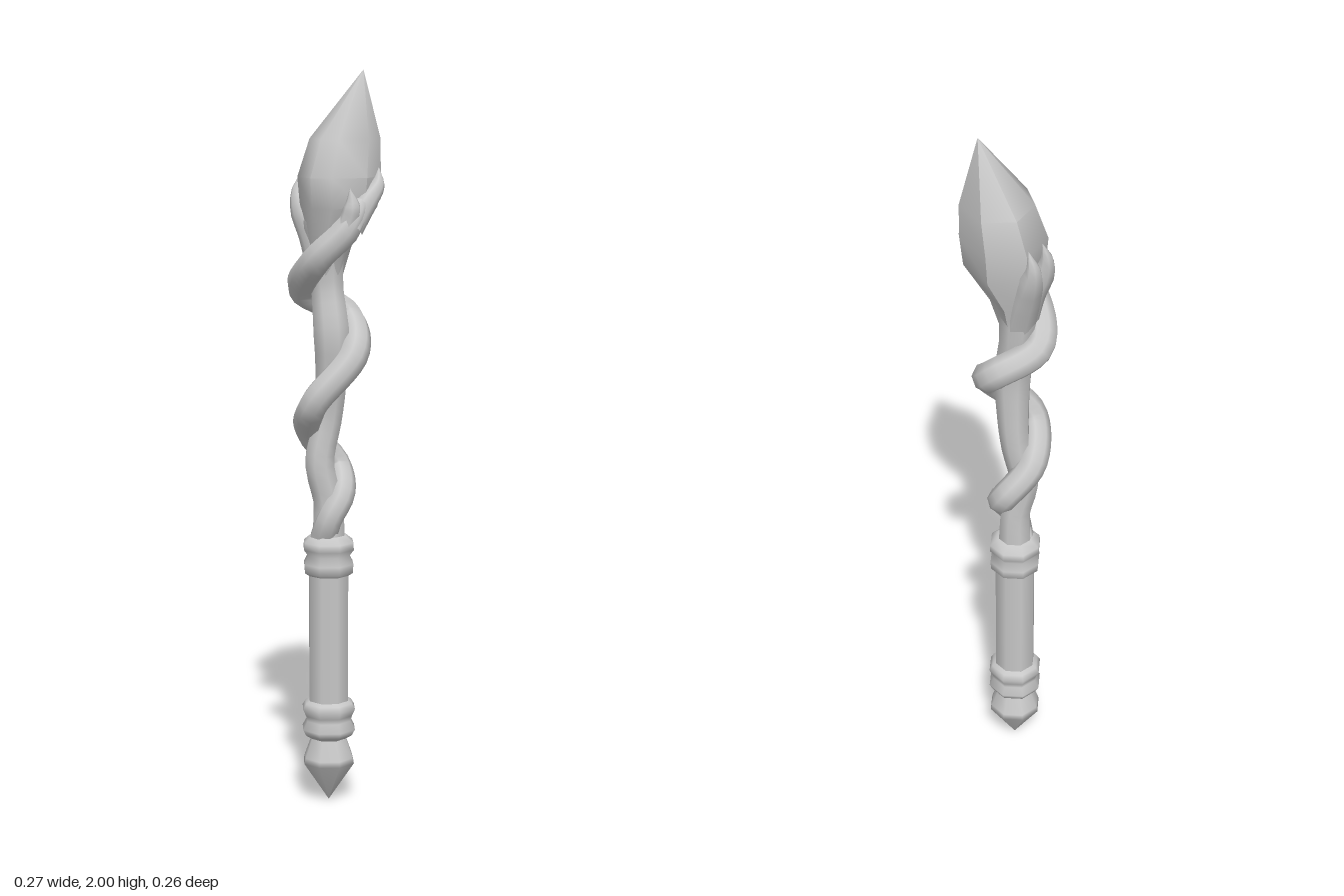
import * as THREE from 'three';
import { toCreasedNormals } from 'three/addons/utils/BufferGeometryUtils.js';

const stone = new THREE.MeshStandardMaterial({ color: 0xc8c8c8 });
stone.name = 'pale grey';

// Skin over rings of equal length, each running counter-clockwise about the direction of travel
function skin(rings) {
  const n = rings[0].length;
  const index = [];
  for (let i = 0; i < rings.length - 1; i++) {
    for (let j = 0; j < n; j++) {
      const k = (j + 1) % n;
      const a = i * n + j, b = i * n + k, c = a + n, d = b + n;
      index.push(a, b, c, b, d, c);
    }
  }
  const geometry = new THREE.BufferGeometry();
  geometry.setAttribute('position', new THREE.Float32BufferAttribute(rings.flat(2), 3));
  geometry.setIndex(index);
  geometry.computeVertexNormals();
  return geometry;
}

// Tapering tube through points of [x, y, z, radius]
function sweep(points, steps, sides) {
  const curve = new THREE.CatmullRomCurve3(points.map(p => new THREE.Vector3(p[0], p[1], p[2])));
  const frames = curve.computeFrenetFrames(steps);
  const rings = [];
  for (let i = 0; i <= steps; i++) {
    const u = i / steps;
    const t = curve.getUtoTmapping(u);
    const centre = curve.getPoint(t);
    const s = t * (points.length - 1);
    const k = Math.min(Math.floor(s), points.length - 2);
    const r = THREE.MathUtils.lerp(points[k][3], points[k + 1][3], s - k);
    const ring = [];
    for (let j = 0; j < sides; j++) {
      const a = (j / sides) * Math.PI * 2;
      ring.push(centre.clone()
        .addScaledVector(frames.normals[i], Math.cos(a) * r)
        .addScaledVector(frames.binormals[i], Math.sin(a) * r).toArray());
    }
    rings.push(ring);
  }
  return skin(rings);
}

export function createModel() {
  const group = new THREE.Group();
  group.name = 'staff';
  const add = (name, geometry) => {
    const mesh = new THREE.Mesh(geometry, stone);
    mesh.name = name;
    group.add(mesh);
    return mesh;
  };
  const lathe = (name, profile) => {
    const points = profile.map(p => new THREE.Vector2(p[0], p[1]));
    add(name, new THREE.LatheGeometry(points, 8)).position.x = -0.018;
  };

  // Handle: pointed pommel, grip and ringed collars
  lathe('pommel', [[0, 0], [0.074, 0.11], [0.07, 0.125], [0.046, 0.19]]);
  lathe('grip', [[0.057, 0.26], [0.057, 0.66]]);
  lathe('lowerCollar', [[0.044, 0.175], [0.068, 0.19], [0.077, 0.207], [0.064, 0.23],
    [0.068, 0.245], [0.077, 0.265], [0.068, 0.28], [0.055, 0.288]]);
  lathe('upperCollar', [[0.055, 0.638], [0.07, 0.648], [0.072, 0.672], [0.06, 0.695],
    [0.073, 0.712], [0.072, 0.732], [0.05, 0.75], [0, 0.755]]);

  // Bent core of the shaft
  add('core', sweep([
    [-0.018, 0.72, 0, 0.048], [-0.02, 0.84, 0, 0.042], [-0.04, 0.95, 0.01, 0.042],
    [-0.02, 1.08, -0.005, 0.04], [-0.01, 1.2, 0, 0.046], [-0.008, 1.3, 0.005, 0.052],
    [-0.025, 1.42, -0.01, 0.046], [-0.03, 1.5, -0.01, 0.052], [-0.02, 1.6, -0.01, 0.075],
  ], 28, 8));

  // Vine winding twice around the core
  add('vine', sweep([
    [-0.03, 0.74, 0.01, 0.038], [-0.005, 0.8, 0.028, 0.036], [0.018, 0.865, -0.005, 0.037],
    [-0.02, 0.935, -0.07, 0.038], [-0.075, 1.03, -0.01, 0.04], [-0.03, 1.12, 0.08, 0.04],
    [0.057, 1.25, 0.01, 0.042], [0.0, 1.345, -0.088, 0.042], [-0.092, 1.415, -0.01, 0.042],
    [-0.02, 1.505, 0.088, 0.041], [0.06, 1.585, 0.075, 0.039], [0.09, 1.65, 0.05, 0.025],
    [0.1, 1.67, 0.035, 0],
  ], 64, 8));

  // Claws gripping the crystal
  const claws = {
    vineClawRight: [[0.07, 1.59, 0.07, 0.034], [0.098, 1.655, 0.03, 0.03],
      [0.115, 1.7, -0.015, 0.02], [0.108, 1.745, -0.045, 0]],
    vineClawFront: [[0.06, 1.585, 0.078, 0.03], [0.078, 1.645, 0.082, 0.024], [0.075, 1.695, 0.09, 0]],
    backClaw: [[-0.035, 1.48, -0.015, 0.045], [-0.06, 1.56, -0.035, 0.043],
      [-0.09, 1.64, -0.06, 0.034], [-0.104, 1.69, -0.075, 0.019], [-0.092, 1.74, -0.078, 0]],
    leftClaw: [[-0.035, 1.48, 0, 0.045], [-0.06, 1.56, 0.005, 0.038],
      [-0.092, 1.63, 0.005, 0.032], [-0.108, 1.68, -0.005, 0.018], [-0.1, 1.73, -0.015, 0]],
  };
  for (const [name, points] of Object.entries(claws)) add(name, sweep(points, 12, 7));

  // Seven-sided crystal, leaning to an off-centre point
  const outline = [[-0.03, 0.105], [0.03, 0.105], [0.105, 0.04], [0.105, -0.07],
    [0, -0.13], [-0.09, -0.08], [-0.095, 0.03]];
  const levels = [ // y, x offset, z offset, scale
    [1.46, -0.025, -0.005, 0.36], [1.54, -0.025, -0.004, 0.56], [1.64, 0, 0, 0.93],
    [1.72, 0, 0, 1], [1.82, 0.012, -0.018, 0.85], [2, 0.065, -0.042, 0]];
  const rings = levels.map(([y, x, z, s]) => outline.map(p => [x + p[0] * s, y, z + p[1] * s]));
  add('crystal', toCreasedNormals(skin(rings), 0.9));

  return group;
}
